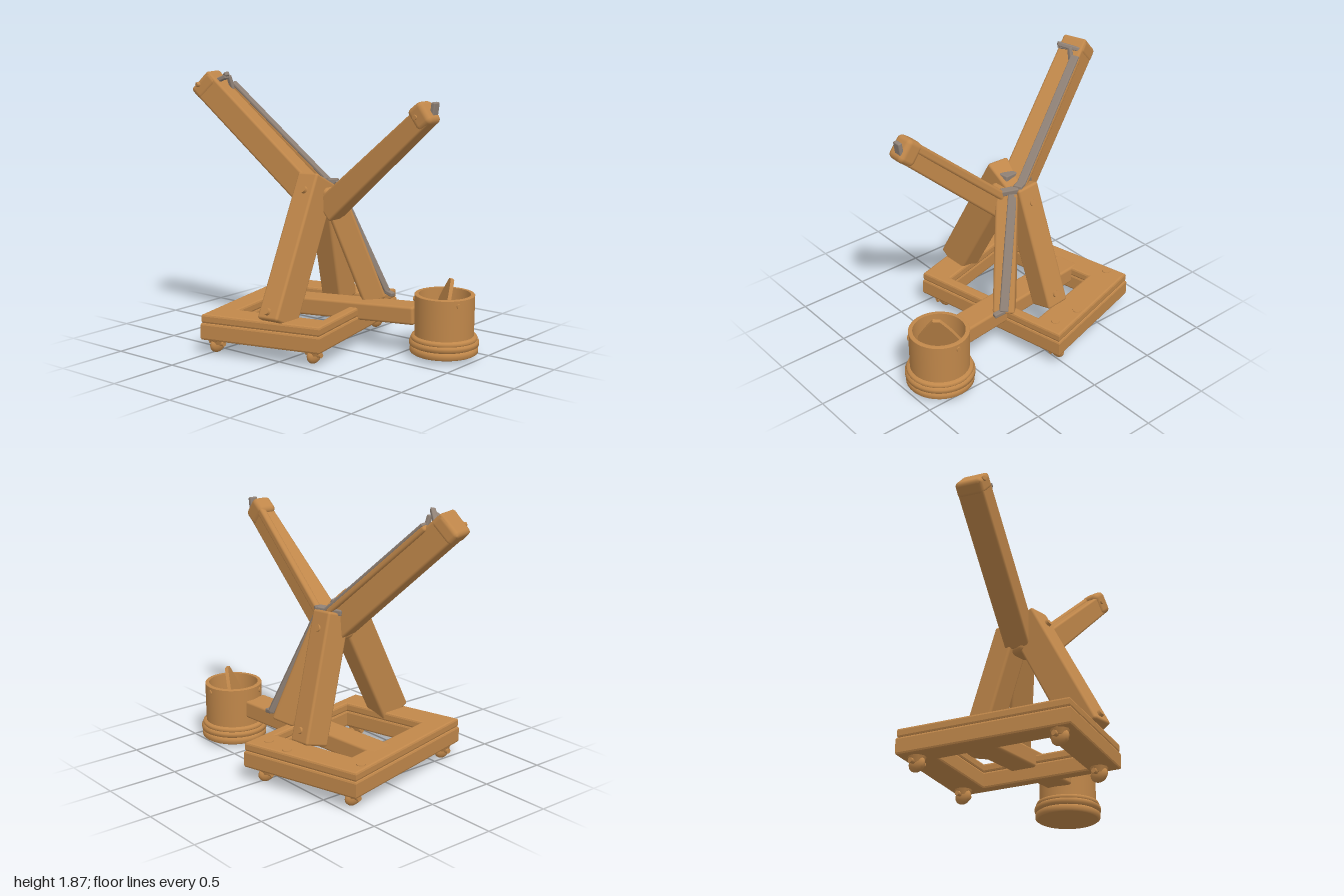
import * as THREE from 'three';
import { RoundedBoxGeometry } from 'three/addons/geometries/RoundedBoxGeometry.js';

const wood = new THREE.MeshStandardMaterial({ color: 0xc0874a });
wood.name = 'warm wood';
const iron = new THREE.MeshStandardMaterial({ color: 0x8f8176 });
iron.name = 'dull iron';
const V = (x, y, z) => new THREE.Vector3(x, y, z);

export function createModel() {
  const model = new THREE.Group();
  model.name = 'tripodMachine';

  function add(name, geometry, material = wood) {
    const mesh = new THREE.Mesh(geometry, material);
    mesh.name = name;
    model.add(mesh);
    return mesh;
  }

  // Rounded bar from a to b; w is measured along the side hint, d across it
  function beam(name, a, b, w, d, side, { taper = 1, material = wood, radius = 0.018 } = {}) {
    const length = a.distanceTo(b);
    const geo = new RoundedBoxGeometry(w, length, d, 2, Math.min(radius, w * 0.4, d * 0.4));
    const p = geo.attributes.position;
    for (let i = 0; i < p.count; i++) {
      const s = 1 + (taper - 1) * (p.getY(i) / length + 0.5);
      p.setX(i, p.getX(i) * s);
      p.setZ(i, p.getZ(i) * s);
    }
    const y = b.clone().sub(a).normalize();
    const z = side.clone().cross(y).normalize();
    const x = y.clone().cross(z);
    const mesh = add(name, geo, material);
    mesh.quaternion.setFromRotationMatrix(new THREE.Matrix4().makeBasis(x, y, z));
    mesh.position.copy(a).add(b).multiplyScalar(0.5);
  }

  // Round peg head pointing along a direction
  function peg(name, at, dir, r = 0.028) {
    const mesh = add(name, new THREE.CylinderGeometry(r * 0.8, r, 0.03, 10));
    mesh.position.copy(at);
    mesh.quaternion.setFromUnitVectors(V(0, 1, 0), dir.clone().normalize());
  }

  // Skewed base frame in two layers; the opening runs opposite to the outline
  const outer = [[-0.8, -0.48], [-0.525, 0.705], [0.32, 0.47], [0.07, -0.72]];
  const inner = [[-0.57, -0.32], [0.04, -0.47], [0.2, 0.29], [-0.41, 0.45]];
  const toPoints = (list, s) => list.map(([x, z]) =>
    new THREE.Vector2(-0.23 + (x + 0.23) * s, -(z * s)));
  for (const [name, y, h, s] of [['baseFrameLower', 0.1, 0.12, 1], ['baseFrameUpper', 0.215, 0.065, 0.99]]) {
    const shape = new THREE.Shape(toPoints(outer, s));
    shape.holes.push(new THREE.Path(toPoints(inner, 1)));
    const geo = new THREE.ExtrudeGeometry(shape, {
      depth: h - 0.03, bevelThickness: 0.015, bevelSize: 0.015, bevelOffset: -0.015, bevelSegments: 2,
    });
    geo.rotateX(-Math.PI / 2).translate(0, y + 0.015, 0);
    add(name, geo);
  }
  for (const [x, z] of [[-0.02, -0.58], [-0.71, -0.36], [-0.22, -0.58]])
    peg('framePeg', V(x, 0.27, z), V(0, 1, 0), 0.038);

  // Caster feet
  for (const [x, z] of [[-0.68, -0.4], [-0.02, -0.6], [0.2, 0.38], [-0.48, 0.59]]) {
    const wheel = add('casterWheel', new THREE.SphereGeometry(0.055, 14, 10));
    wheel.scale.set(0.6, 1, 1.2);
    wheel.position.set(x, 0.055, z);
    const fork = add('casterFork', new THREE.CylinderGeometry(0.065, 0.045, 0.05, 10));
    fork.position.set(x, 0.085, z);
    const axle = add('casterAxle', new THREE.CylinderGeometry(0.018, 0.018, 0.13, 8));
    axle.rotation.z = Math.PI / 2;
    axle.position.set(x, 0.065, z);
  }

  // Cross beam carrying the bucket
  beam('crossBeam', V(-0.6, 0.218, -0.07), V(0.6, 0.277, -0.25), 0.125, 0.19, V(0, 1, 0));

  // Three legs meeting at the hub
  beam('frontLeg', V(-0.03, 0.25, 0.49), V(-0.08, 1.165, 0.005), 0.17, 0.23, V(1, 0, 0));
  beam('backLeg', V(-0.17, 0.25, -0.355), V(-0.1, 1.11, -0.1), 0.17, 0.19, V(1, 0, 0));
  beam('sideLeg', V(0.19, 0.3, -0.29), V(-0.02, 1.08, -0.07), 0.15, 0.16, V(0.7, 0, 0.7));
  add('hub', new RoundedBoxGeometry(0.22, 0.2, 0.2, 2, 0.04)).position.set(-0.06, 1.01, -0.05);
  const frontOut = V(0, 0.46, 0.89);
  const backOut = V(0, 0.3, -0.95);
  peg('frontLegTopPeg', V(-0.06, 1.11, 0.17), frontOut);
  peg('frontLegFootPeg', V(-0.04, 0.353, 0.572), frontOut);
  peg('backLegTopPeg', V(-0.11, 1.02, -0.22), backOut);
  peg('backLegFootPeg', V(-0.16, 0.36, -0.42), backOut);

  // Two raised arms, each with a slim wooden batten along its back edge
  beam('longArm', V(-0.1, 1.0, -0.03), V(-0.92, 1.81, 0.222), 0.18, 0.185, V(0.3, 0, 1));
  beam('longArmCap', V(-0.85, 1.735, 0.2), V(-0.922, 1.812, 0.223), 0.188, 0.19, V(0.3, 0, 1), { radius: 0.03 });
  beam('longArmBatten', V(-0.1, 1.115, -0.13), V(-0.78, 1.775, 0.1), 0.06, 0.045, V(0.3, 0, 1));
  beam('shortArm', V(0.0, 0.95, -0.02), V(0.81, 1.662, -0.03), 0.15, 0.175, V(0, 0, 1), { taper: 0.78 });
  beam('shortArmBatten', V(0.03, 1.06, -0.095), V(0.74, 1.68, -0.07), 0.05, 0.06, V(0, 0, 1));
  beam('shortArmCap', V(0.72, 1.605, -0.03), V(0.825, 1.685, -0.03), 0.14, 0.165, V(0, 0, 1), { radius: 0.035 });
  peg('longArmPeg', V(-0.9, 1.78, 0.31), V(-0.3, 0, 0.95), 0.02);
  peg('shortArmPeg', V(0.75, 1.64, 0.035), V(0, 0, 1), 0.02);

  // Iron straps and the hooks at their ends
  const strap = { material: iron, radius: 0.008 };
  beam('longArmStrap', V(-0.085, 1.13, -0.132), V(-0.765, 1.792, 0.098), 0.062, 0.022, V(0.3, 0, 1), strap);
  beam('sideLegStrap', V(-0.01, 1.11, -0.135), V(0.25, 0.36, -0.355), 0.06, 0.04, V(0.7, 0, 0.5), strap);
  beam('sideLegStrapFoot', V(0.24, 0.36, -0.35), V(0.32, 0.345, -0.335), 0.04, 0.03, V(0, 0, 1), strap);
  beam('hubStrapBack', V(-0.19, 1.12, -0.08), V(-0.03, 1.13, -0.16), 0.06, 0.04, V(0, 0, 1), strap);
  beam('hubStrapSide', V(-0.04, 1.12, -0.16), V(0.06, 1.1, -0.09), 0.05, 0.04, V(0, 0, 1), strap);
  beam('hubPlate', V(-0.17, 1.13, 0.01), V(-0.02, 1.15, -0.02), 0.07, 0.05, V(0, 0, 1), strap);
  beam('longArmHook', V(-0.83, 1.81, 0.13), V(-0.71, 1.86, 0.22), 0.035, 0.03, V(0, 0, 1), strap);
  beam('longArmHookTip', V(-0.82, 1.8, 0.22), V(-0.72, 1.84, 0.21), 0.04, 0.03, V(0, 0, 1), strap);
  beam('longArmHookPin', V(-0.75, 1.74, 0.12), V(-0.76, 1.84, 0.15), 0.03, 0.03, V(0, 0, 1), strap);
  beam('shortArmHook', V(0.83, 1.63, -0.05), V(0.845, 1.735, -0.05), 0.06, 0.03, V(0, 0, 1), strap);

  // Hollow bucket with a ringed foot
  const bucket = new THREE.Group();
  bucket.name = 'bucket';
  bucket.position.set(0.765, 0, -0.31);
  model.add(bucket);
  const shells = {
    bucketFoot: [[0, 0.025], [0.215, 0.025]],
    bucketFootRing: [[0.215, 0.025], [0.23, 0.035], [0.23, 0.065], [0.215, 0.075]],
    bucketMiddleRing: [[0.215, 0.075], [0.235, 0.085], [0.235, 0.11], [0.22, 0.12]],
    bucketUpperRing: [[0.22, 0.12], [0.226, 0.13], [0.22, 0.145], [0.2, 0.15]],
    bucketWall: [[0.2, 0.15], [0.203, 0.425]],
    bucketRim: [[0.203, 0.425], [0.2, 0.43], [0.175, 0.43]],
    bucketInside: [[0.175, 0.43], [0.168, 0.22]],
    bucketFloor: [[0.168, 0.22], [0, 0.22]],
  };
  for (const [name, list] of Object.entries(shells)) {
    const points = list.map(([r, y]) => new THREE.Vector2(r, y));
    bucket.add(add(name, new THREE.LatheGeometry(points, 40)));
  }
  for (let i = 0; i < 3; i++) {
    const a = 0.5 + i * 2.1;
    const out = V(Math.cos(a), 0, Math.sin(a));
    peg('rimPeg', V(0.765, 0.39, -0.31).addScaledVector(out, 0.195), out, 0.02);
  }

  // Pointed paddle leaning inside the bucket
  const leaf = new THREE.Shape();
  leaf.moveTo(-0.14, 0);
  leaf.lineTo(0.14, 0);
  leaf.lineTo(0.14, 0.13);
  leaf.quadraticCurveTo(0.09, 0.23, 0.03, 0.32);
  leaf.lineTo(-0.02, 0.32);
  leaf.quadraticCurveTo(-0.1, 0.23, -0.15, 0.13);
  leaf.closePath();
  const paddle = add('paddle', new THREE.ExtrudeGeometry(leaf, { depth: 0.025, bevelEnabled: false }));
  paddle.position.set(0.745, 0.22, -0.285);
  paddle.rotation.set(-0.28, -0.8, 0, 'YXZ');

  return model;
}
